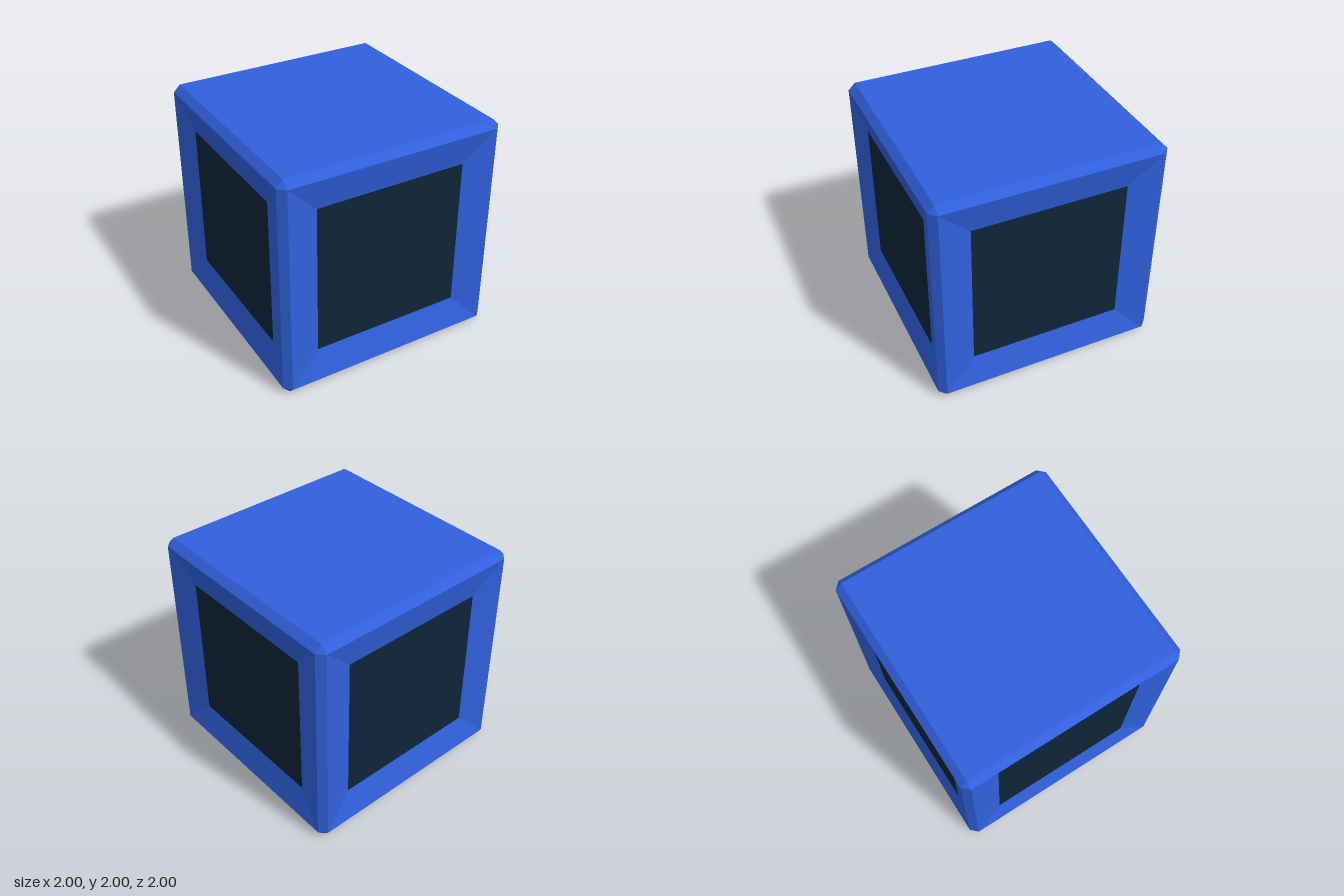
import * as THREE from 'three';

const H = 1;            // half size of the cube
const F = 0.94;         // half size of each face inside its chamfers
const P = 0.67;         // half size of the recessed panels
const D = 0.94;         // distance of the panels from the centre

// Flat polygons (corners anticlockwise from outside), centred on the origin
function polygons(list) {
  const pos = [];
  for (const p of list) {
    for (let i = 1; i < p.length - 1; i++) pos.push(...p[0], ...p[i], ...p[i + 1]);
  }
  const g = new THREE.BufferGeometry();
  g.setAttribute('position', new THREE.Float32BufferAttribute(pos, 3));
  g.computeVertexNormals();
  return g;
}

export function createModel() {
  const blue = new THREE.MeshStandardMaterial({ color: 0x3060dc });
  blue.name = 'blue shell';
  const dark = new THREE.MeshStandardMaterial({ color: 0x0e2538 });
  dark.name = 'dark panel';

  const model = new THREE.Group();
  model.name = 'chamferedCube';
  const add = (parent, name, geometry, material) => {
    const mesh = new THREE.Mesh(geometry, material);
    mesh.name = name;
    parent.add(mesh);
    return mesh;
  };

  // Square ring sloping inward from the face edge to the panel
  const outer = [[-F, -F, H], [F, -F, H], [F, F, H], [-F, F, H]];
  const inner = [[-P, -P, D], [P, -P, D], [P, P, D], [-P, P, D]];
  const frame = polygons(outer.map((p, i) => {
    const j = (i + 1) % 4;
    return [p, outer[j], inner[j], inner[i]];
  }));
  const panel = polygons([inner]);

  // Chamfers belonging to one side: top, bottom, one upright and its corners
  const chamfers = polygons([
    [[-F, F, H], [F, F, H], [F, H, F], [-F, H, F]],
    [[-F, -H, F], [F, -H, F], [F, -F, H], [-F, -F, H]],
    [[F, -F, H], [H, -F, F], [H, F, F], [F, F, H]],
    [[F, F, H], [H, F, F], [F, H, F]],
    [[F, -F, H], [F, -H, F], [H, -F, F]],
  ]);

  // Four identical sides
  ['front', 'left', 'back', 'right'].forEach((name, i) => {
    const side = new THREE.Group();
    side.name = name + 'Side';
    side.rotation.y = i * Math.PI / 2;
    side.position.y = H;
    add(side, name + 'Frame', frame, blue);
    add(side, name + 'Panel', panel, dark);
    add(side, name + 'Chamfers', chamfers, blue);
    model.add(side);
  });

  // Plain top and bottom
  const cap = new THREE.PlaneGeometry(2 * F, 2 * F);
  const top = add(model, 'topFace', cap, blue);
  top.rotation.x = -Math.PI / 2;
  top.position.y = 2 * H;
  const bottom = add(model, 'bottomFace', cap, blue);
  bottom.rotation.x = Math.PI / 2;

  return model;
}
